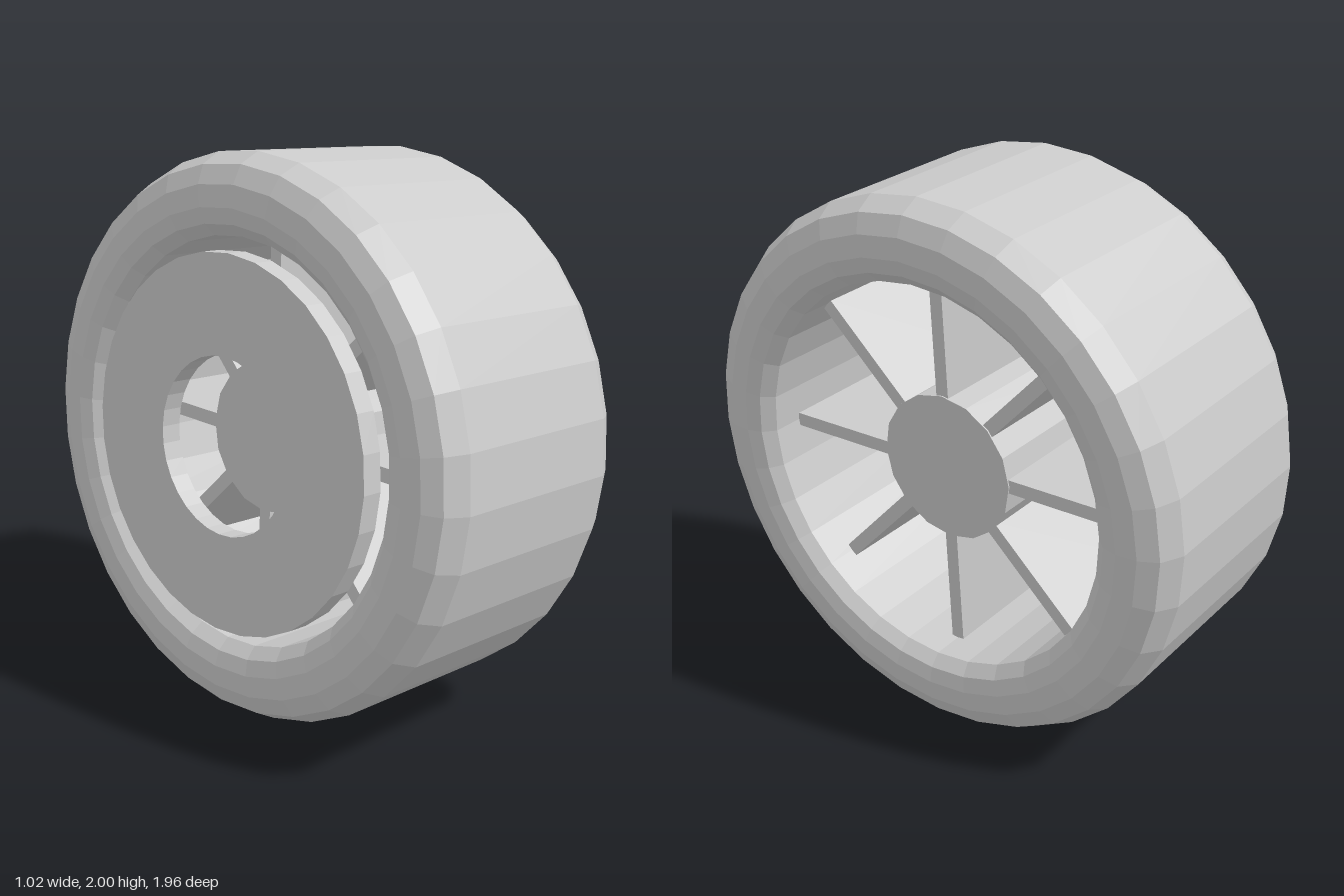
import * as THREE from 'three';

const SIDES = 32;
const grey = () => new THREE.MeshStandardMaterial({ color: 0xcccccc, flatShading: true });

// Closed ring turned around the axle; profile points are [radius, position along axle]
function ring(name, profile) {
  const points = [...profile, profile[0]].map(([r, a]) => new THREE.Vector2(r, a));
  const mesh = new THREE.Mesh(new THREE.LatheGeometry(points, SIDES), grey());
  mesh.name = name;
  return mesh;
}

export function createModel() {
  const wheel = new THREE.Group();
  wheel.name = 'wheel';

  // Tyre: flat tread, rounded shoulders, bulging sidewalls
  const shoulder = [[0.745, 0.44], [0.8, 0.455], [0.875, 0.45], [0.94, 0.42], [0.98, 0.345]];
  const lower = shoulder.map(([r, a]) => [r, -a]);
  wheel.add(ring('tyre', [...lower, ...shoulder.slice().reverse()]));

  // Rim barrel with a chamfered lip at both ends
  wheel.add(ring('rim', [
    [0.745, -0.44], [0.745, 0.44], [0.705, 0.4], [0.705, -0.4],
  ]));

  // Brake disc with a large centre hole, level with the inner sidewall
  wheel.add(ring('brakeDisc', [
    [0.31, -0.46], [0.655, -0.46], [0.655, -0.385], [0.31, -0.385],
  ]));

  // Hub and eight deep spokes share the same depth along the axle
  const front = 0.29, back = -0.25;
  const depth = front - back, middle = (front + back) / 2;
  const hub = new THREE.Mesh(new THREE.CylinderGeometry(0.27, 0.27, depth, 16), grey());
  hub.name = 'hub';
  hub.position.y = middle;
  wheel.add(hub);

  const inner = 0.25, outer = 0.707;
  for (let i = 0; i < 8; i++) {
    const geometry = new THREE.BoxGeometry(outer - inner, depth - 0.01, 0.05);
    geometry.translate((outer + inner) / 2, middle, 0);
    const spoke = new THREE.Mesh(geometry, grey());
    spoke.name = 'spoke' + (i + 1);
    spoke.rotation.y = (i * Math.PI) / 4;
    wheel.add(spoke);
  }

  // Lay the axle along x, with a slight camber
  wheel.rotation.z = -Math.PI / 2 - THREE.MathUtils.degToRad(4.1);
  wheel.position.y = 1;

  const model = new THREE.Group();
  model.name = 'camberedWheel';
  model.add(wheel);
  return model;
}
